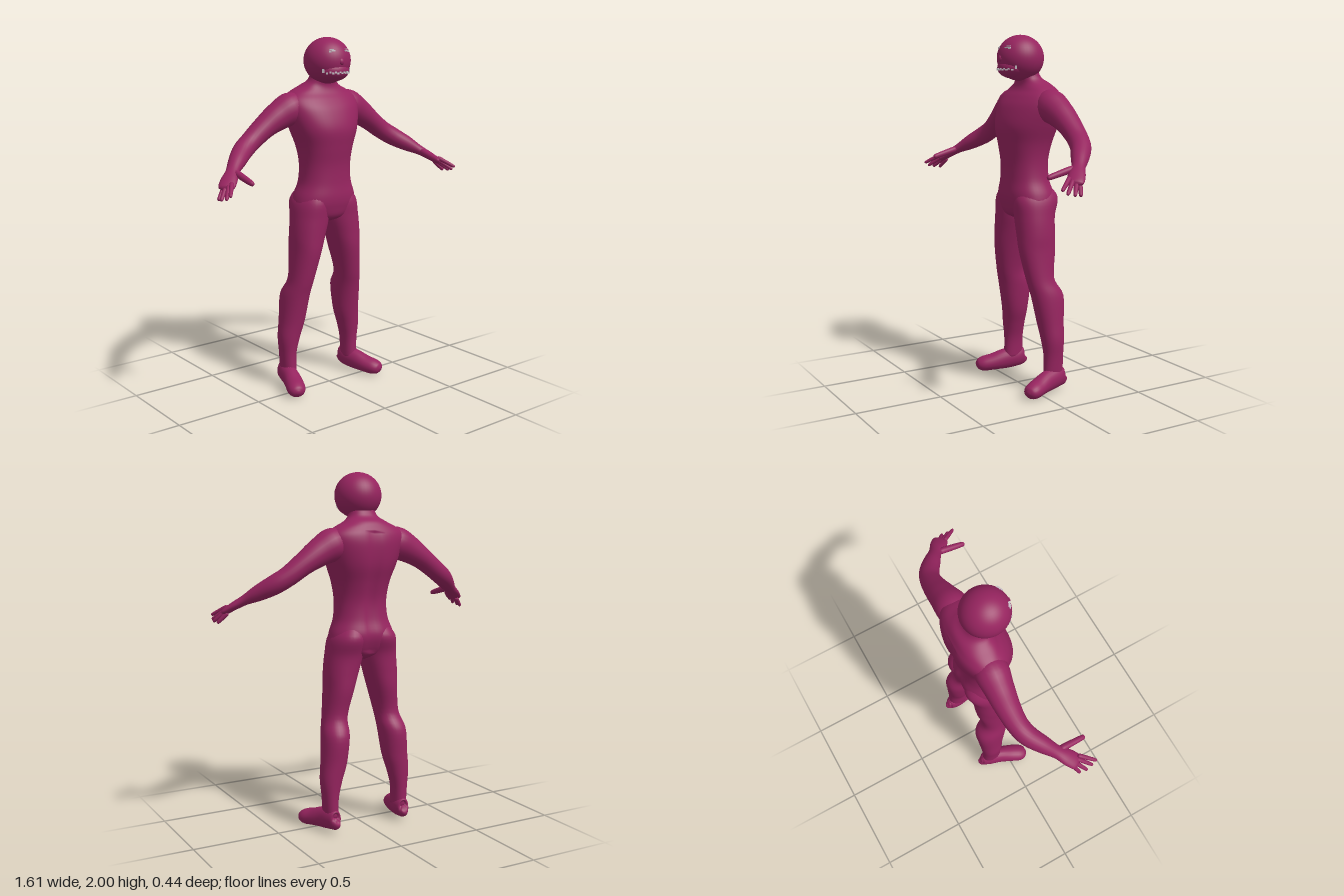
import * as THREE from 'three';

const V = (x, y, z) => new THREE.Vector3(x, y, z);
const skin = new THREE.MeshStandardMaterial({ color: 0x96245f });
skin.name = 'plum skin';
const pale = new THREE.MeshStandardMaterial({ color: 0xc8c0c6 });
pale.name = 'pale grey';

// Smooth closed skin over oval rings. Each row: x, y, z, radius along ref, radius across.
function loft(name, rows, { ref = V(0, 1, 0), axis = null, steps = 5, sides = 24, power = 2, shape = null } = {}) {
  const path = new THREE.CatmullRomCurve3(rows.map(r => V(r[0], r[1], r[2])), false, 'catmullrom', 0.5);
  const radii = new THREE.CatmullRomCurve3(rows.map(r => V(r[3], r[4], 0)), false, 'catmullrom', 0.5);
  const rings = (rows.length - 1) * steps, pos = [], index = [];
  const round = c => Math.sign(c) * Math.abs(c) ** (2 / power);
  for (let i = 0; i <= rings; i++) {
    const c = path.getPoint(i / rings), r = radii.getPoint(i / rings);
    const t = axis || path.getTangent(i / rings);
    const u = ref.clone().addScaledVector(t, -ref.dot(t)).normalize();
    const v = t.clone().cross(u);
    for (let j = 0; j < sides; j++) {
      const a = j / sides * Math.PI * 2;
      const p = c.clone().addScaledVector(u, r.x * round(Math.cos(a))).addScaledVector(v, r.y * round(Math.sin(a)));
      if (shape) shape(p, c);
      pos.push(p.x, p.y, p.z);
    }
  }
  const ends = [path.getPoint(0), path.getPoint(1)], pole = (rings + 1) * sides;
  ends.forEach(e => pos.push(e.x, e.y, e.z));
  for (let j = 0; j < sides; j++) {
    const k = (j + 1) % sides;
    for (let i = 0; i < rings; i++) {
      const a = i * sides + j, b = i * sides + k;
      index.push(a, b, a + sides, b, b + sides, a + sides);
    }
    index.push(pole, k, j, pole + 1, rings * sides + j, rings * sides + k);
  }
  const geo = new THREE.BufferGeometry();
  geo.setAttribute('position', new THREE.Float32BufferAttribute(pos, 3));
  geo.setIndex(index);
  geo.computeVertexNormals();
  const mesh = new THREE.Mesh(geo, skin);
  mesh.name = name;
  return mesh;
}

function ball(name, x, y, z, rx, ry, rz) {
  const mesh = new THREE.Mesh(new THREE.SphereGeometry(1, 40, 28), skin);
  mesh.position.set(x, y, z);
  mesh.scale.set(rx, ry, rz);
  mesh.name = name;
  return mesh;
}

const upright = { ref: V(1, 0, 0), axis: V(0, 1, 0), sides: 32 };

function createTorso() {
  const rows = [
    [0, 0.965, -0.05, 0.02, 0.03], [0, 1.0, -0.045, 0.13, 0.1], [0, 1.06, -0.05, 0.188, 0.128],
    [0, 1.12, -0.052, 0.186, 0.137], [0, 1.2, -0.045, 0.157, 0.124], [0, 1.3, -0.042, 0.15, 0.122],
    [0, 1.4, -0.045, 0.165, 0.14], [0, 1.5, -0.055, 0.2, 0.16], [0, 1.6, -0.075, 0.23, 0.15],
    [0, 1.66, -0.09, 0.23, 0.128], [0, 1.7, -0.097, 0.19, 0.103], [0, 1.735, -0.092, 0.12, 0.086],
    [0, 1.77, -0.066, 0.08, 0.066], [0, 1.84, -0.045, 0.07, 0.06],
  ];
  // Shallow groove down the spine
  const spine = (p, c) => {
    if (p.z < c.z && p.y > 1.02 && p.y < 1.68) p.z += 0.012 * Math.exp(-((p.x / 0.03) ** 2));
  };
  return loft('torso', rows, { ...upright, sides: 48, power: 2.25, shape: spine });
}

function createLeg(s) {
  // y, inner x, outer x, front z, back z
  const rows = [
    [0.08, 0.185, 0.262, -0.04, -0.16], [0.2, 0.18, 0.27, -0.045, -0.16], [0.3, 0.155, 0.28, -0.035, -0.165],
    [0.4, 0.125, 0.272, -0.02, -0.172], [0.55, 0.107, 0.26, 0.01, -0.18], [0.65, 0.098, 0.236, 0.035, -0.13],
    [0.8, 0.06, 0.222, 0.062, -0.15], [0.9, 0.03, 0.22, 0.067, -0.155], [1.0, 0.003, 0.21, 0.07, -0.163],
    [1.1, 0.0, 0.19, 0.07, -0.192], [1.18, 0.03, 0.13, 0.02, -0.14],
  ].map(([y, a, b, f, k]) => [s * (a + b) / 2, y, (f + k) / 2, (b - a) / 2, (f - k) / 2]);
  return loft('leg', rows, { ...upright, power: 2.15 });
}

const side = (rows, s) => rows.map(([x, ...rest]) => [s * x, ...rest]);

function createFoot(s) {
  return loft('foot', side([
    [0.22, 0.08, -0.176, 0.012, 0.012], [0.222, 0.075, -0.165, 0.05, 0.032], [0.226, 0.08, -0.12, 0.062, 0.046],
    [0.242, 0.07, -0.05, 0.06, 0.049], [0.266, 0.055, 0.02, 0.049, 0.053], [0.288, 0.046, 0.07, 0.044, 0.052],
    [0.3, 0.044, 0.1, 0.031, 0.038], [0.305, 0.043, 0.114, 0.008, 0.01],
  ], s));
}

function createArm(s) {
  const arm = new THREE.Group();
  arm.name = s > 0 ? 'leftArm' : 'rightArm';
  arm.add(loft('armAndPalm', side([
    [0.1, 1.63, -0.09, 0.05, 0.05], [0.19, 1.615, -0.093, 0.09, 0.09], [0.28, 1.575, -0.098, 0.078, 0.08],
    [0.37, 1.52, -0.1, 0.062, 0.068], [0.46, 1.455, -0.092, 0.055, 0.058], [0.53, 1.41, -0.067, 0.053, 0.055],
    [0.6, 1.365, -0.015, 0.044, 0.047], [0.66, 1.325, 0.035, 0.028, 0.036], [0.705, 1.292, 0.075, 0.023, 0.045],
    [0.742, 1.262, 0.108, 0.018, 0.044], [0.752, 1.254, 0.117, 0.006, 0.025],
  ], s)));
  // Four fingers fanned from the knuckles: start, then tip
  const fingers = [
    [0.722, 1.285, 0.128, 0.785, 1.232, 0.212], [0.732, 1.272, 0.115, 0.792, 1.212, 0.186],
    [0.742, 1.262, 0.1, 0.8, 1.204, 0.148], [0.742, 1.255, 0.08, 0.792, 1.2, 0.108],
  ];
  const thumb = [0.655, 1.322, 0.06, 0.65, 1.28, 0.214];
  [...fingers, thumb].forEach((f, i) => {
    const a = V(f[0], f[1], f[2]), b = V(f[3], f[4], f[5]), r = i === 4 ? 0.018 : 0.012;
    const rows = [[0, 0.5], [0.08, 1], [0.5, 0.95], [0.92, 0.75], [1, 0.15]].map(([t, k]) =>
      [...a.clone().lerp(b, t).toArray(), r * k, r * k]);
    arm.add(loft(i === 4 ? 'thumb' : 'finger', side(rows, s), { steps: 3, sides: 12 }));
  });
  return arm;
}

function createHead() {
  const head = new THREE.Group();
  head.name = 'head';
  head.add(ball('skull', 0, 1.873, -0.018, 0.13, 0.127, 0.132));
  head.add(ball('muzzle', 0, 1.82, 0.03, 0.095, 0.06, 0.085));
  head.add(ball('nose', 0, 1.87, 0.105, 0.017, 0.02, 0.016));
  // Depth of the face surface at a given x and y
  const bulge = (x, y, cy, cz, rx, ry, rz) =>
    cz + rz * Math.sqrt(Math.max(0, 1 - (x / rx) ** 2 - ((y - cy) / ry) ** 2));
  const face = (x, y) => Math.max(bulge(x, y, 1.873, -0.018, 0.13, 0.127, 0.132), bulge(x, y, 1.82, 0.03, 0.095, 0.06, 0.085));
  const plate = (name, x, y, w, h) => {
    const mesh = new THREE.Mesh(new THREE.BoxGeometry(w, h, 0.009), pale);
    mesh.position.set(x, y, face(x, y) + 0.001);
    mesh.rotation.y = Math.atan2(face(x - 0.004, y) - face(x + 0.004, y), 0.008);
    mesh.name = name;
    head.add(mesh);
  };
  // Uneven row of teeth, turned up at the ends
  for (let i = -7; i <= 7; i++) {
    const end = Math.abs(i) === 7;
    plate('tooth', i * 0.0127, end ? 1.822 : 1.811 + (i % 2 ? 0.003 : -0.003), 0.011, end ? 0.02 : 0.009);
  }
  // Narrow pale eyes
  for (const s of [-1, 1]) {
    plate('eyelid', s * 0.043, 1.928, 0.022, 0.007);
    plate('eyelid', s * 0.06, 1.925, 0.014, 0.012);
    plate('eyelid', s * 0.05, 1.936, 0.024, 0.005);
  }
  return head;
}

export function createModel() {
  const model = new THREE.Group();
  model.name = 'figure';
  model.add(createTorso(), createHead());
  for (const s of [1, -1]) model.add(createArm(s), createLeg(s), createFoot(s));
  return model;
}
